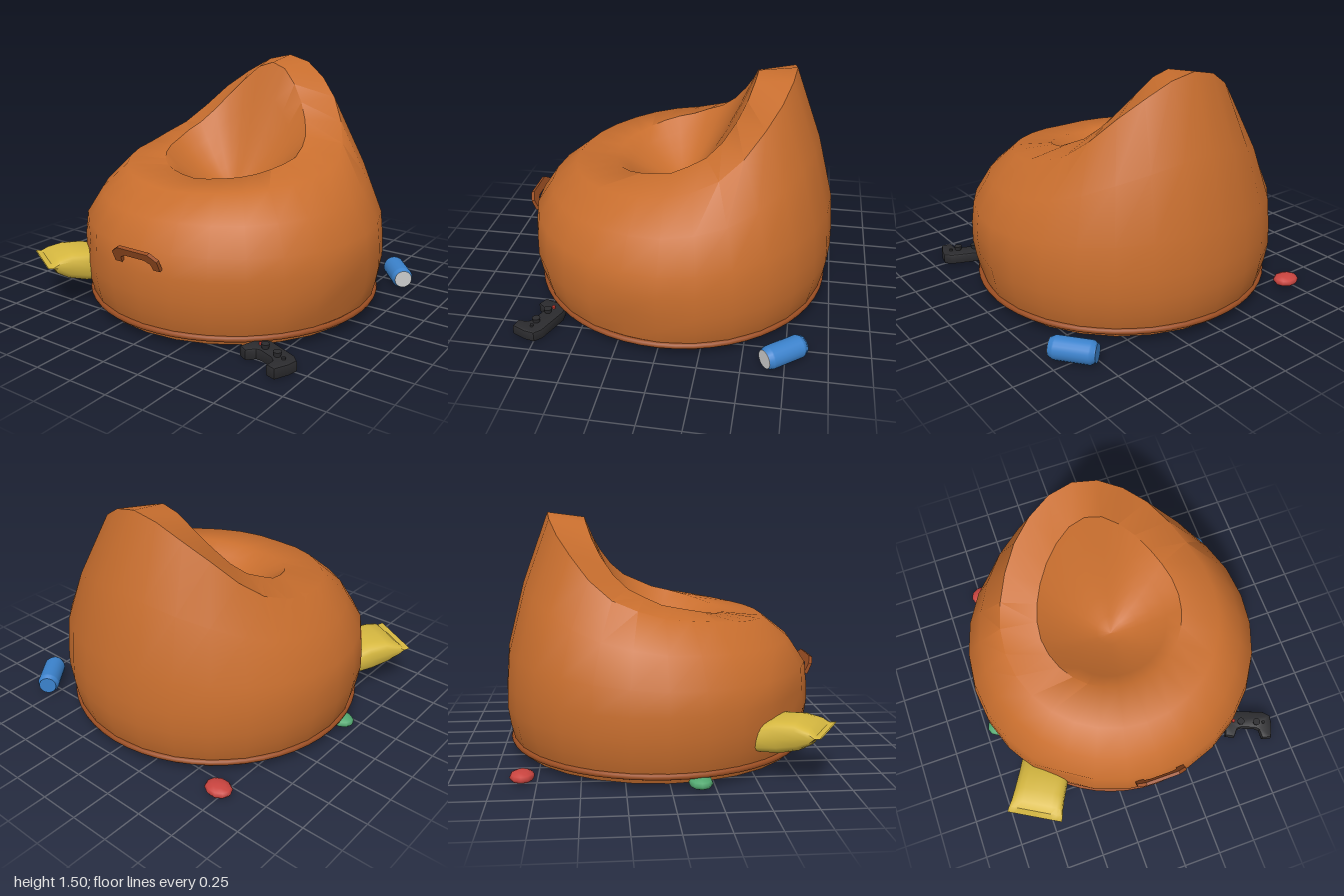
import * as THREE from 'three';
import { toCreasedNormals } from 'three/addons/utils/BufferGeometryUtils.js';

const SEG = 28;
const mat = (color, extra = {}) => new THREE.MeshStandardMaterial({ color, ...extra });
const fabric = mat(0xc86e2e), trim = mat(0x9c4e22), dark = mat(0x2b2b2e);

function add(parent, name, geometry, material, pos = [0, 0, 0], rot = [0, 0, 0]) {
  const m = new THREE.Mesh(geometry, material);
  m.name = name;
  m.position.set(...pos);
  m.rotation.set(...rot);
  parent.add(m);
  return m;
}

// Joins closed rings of points, listed from bottom to top, into a skin
function loft(rings, crease) {
  const n = rings[0].length, index = [];
  for (let i = 0; i < rings.length - 1; i++) {
    for (let j = 0; j < n; j++) {
      const a = i * n + j, b = i * n + (j + 1) % n;
      index.push(a, b, b + n, a, b + n, a + n);
    }
  }
  const g = new THREE.BufferGeometry();
  g.setAttribute('position', new THREE.Float32BufferAttribute(rings.flat(2), 3));
  g.setIndex(index);
  return toCreasedNormals(g.toNonIndexed(), crease);
}

// Linear interpolation in [key, value] pairs
function track(keys, k) {
  let i = 1;
  while (i < keys.length - 1 && keys[i][0] < k) i++;
  const [k0, v0] = keys[i - 1], [k1, v1] = keys[i];
  return v0 + (v1 - v0) * (k - k0) / (k1 - k0);
}

// Heights and radii by angle away from the front, in degrees
const crestY = [[0, 0.845], [45, 0.87], [90, 0.925], [113, 1.0], [131, 1.15], [142, 1.27], [155, 1.38], [168, 1.47], [180, 1.5]];
const crestR = [[0, 0.68], [90, 0.69], [180, 0.685]];
const seatY = [[0, 0.86], [45, 0.895], [90, 0.97], [121, 1.08], [140, 1.23], [165, 1.43], [180, 1.47]];
const seatR = [[0, 0.42], [90, 0.455], [180, 0.455]];
// Soft dents in the skin: x, y, z
const dents = [[0.95, 0.2, 0.15], [-0.55, 0.4, 0.77]];

function bagGeometry() {
  const ring = (f) => Array.from({ length: SEG }, (_, j) => {
    const phi = j / SEG * Math.PI * 2;
    const deg = 180 - Math.abs(180 - j / SEG * 360);
    let [r, y] = f(deg);
    let x = Math.sin(phi) * r, z = Math.cos(phi) * r - 0.015;
    for (const [dx, dy, dz] of dents) {
      const s = 1 - 0.035 * Math.exp(-((x - dx) ** 2 + (y - dy) ** 2 + (z - dz) ** 2) / 0.015);
      x *= s;
      z *= s;
    }
    return [x, y, z];
  });
  const rings = [];
  // Underside and lower wall
  for (const [r, y] of [[0, 0.005], [0.82, 0.005], [0.9, 0.035], [0.925, 0.09], [0.95, 0.19], [0.968, 0.3], [0.965, 0.43]]) {
    rings.push(ring(() => [r, y]));
  }
  // Shoulder, rising into the backrest
  const shoulderY = (d) => 0.565 + 0.095 * Math.max(0, (d - 90) / 90);
  rings.push(ring((d) => [0.948, shoulderY(d)]));
  rings.push(ring((d) => {
    const y = shoulderY(d);
    return [0.845, y + (track(crestY, d) - y) * (0.54 - 0.06 * d / 180)];
  }));
  rings.push(ring((d) => [track(crestR, d), track(crestY, d)]));
  // Seat hollow
  for (const t of [1, 0.8, 0.6, 0.4, 0.2, 0]) {
    rings.push(ring((d) => [track(seatR, d) * t, 0.67 + (track(seatY, d) - 0.67) * t ** 1.4]));
  }
  return loft(rings, 0.75);
}

// Closed outline from corner points
const outline = (pts) => new THREE.Shape(pts.map((p) => new THREE.Vector2(...p)));
// Adds the mirror image of a half outline
const mirrored = (half) => outline([...half, ...half.map(([x, y]) => [-x, y]).reverse()]);

function snackBag() {
  const g = new THREE.Group();
  g.name = 'snackBag';
  // Pillow-shaped sections: distance along the packet, half thickness, half width
  const sections = [[-0.27, 0.004, 0.182], [-0.235, 0.006, 0.18], [-0.2, 0.05, 0.174], [-0.12, 0.085, 0.168],
    [0, 0.1, 0.165], [0.12, 0.085, 0.168], [0.2, 0.05, 0.174], [0.235, 0.006, 0.18], [0.27, 0.004, 0.182]];
  const rings = sections.map(([z, h, w]) => Array.from({ length: 20 }, (_, j) => {
    const a = j / 20 * Math.PI * 2, c = Math.cos(a), s = Math.sin(a);
    return [Math.sign(c) * Math.abs(c) ** 0.5 * w, Math.sign(s) * Math.abs(s) ** 0.6 * h, z];
  }));
  add(g, 'packet', loft(rings, 0.8), mat(0xd6b840, { side: THREE.DoubleSide }));
  g.position.set(-0.715, 0.26, 0.665);
  g.rotation.set(-0.17, -Math.PI / 6, 0, 'YXZ');
  return g;
}

function drinkCan() {
  const g = new THREE.Group();
  g.name = 'drinkCan';
  const profile = [[0.05, -0.135], [0.068, -0.11], [0.07, -0.1], [0.07, 0.1], [0.068, 0.11], [0.056, 0.135]];
  const body = new THREE.LatheGeometry(profile.map((p) => new THREE.Vector2(...p)), 20);
  add(g, 'canBody', body, mat(0x3b82cc));
  const end = new THREE.CylinderGeometry(0.056, 0.056, 0.006, 20);
  add(g, 'canLid', end, mat(0xcccccc), [0, 0.134, 0]);
  add(g, 'canBase', end, mat(0x3b82cc), [0, -0.133, 0]);
  g.position.set(0.86, 0.075, -0.74);
  g.rotation.set(Math.PI / 2, Math.atan2(0.17, 0.21), 0, 'YXZ');
  return g;
}

function gamepad() {
  const g = new THREE.Group();
  g.name = 'gamepad';
  const half = [[0.1, 0.065], [0.145, 0.045], [0.155, -0.01], [0.15, -0.095], [0.105, -0.1], [0.085, -0.045], [0.05, -0.03]];
  const body = new THREE.ExtrudeGeometry(mirrored(half), {
    depth: 0.045, bevelEnabled: true, bevelThickness: 0.012, bevelSize: 0.01, bevelSegments: 2,
  });
  add(g, 'gamepadBody', toCreasedNormals(body, 0.6), dark, [0, 0.018, 0], [-Math.PI / 2, 0, 0]);
  for (const s of [-1, 1]) {
    add(g, 'thumbStick', new THREE.CylinderGeometry(0.025, 0.02, 0.03, 12), dark, [s * 0.055, 0.087, 0.005]);
  }
  const button = new THREE.CylinderGeometry(0.011, 0.011, 0.014, 10);
  add(g, 'redButton', button, mat(0xcc3a30), [-0.105, 0.08, 0.0]);
  add(g, 'blackButton', button, dark, [0.105, 0.08, 0.0]);
  g.position.set(0.77, 0, 0.735);
  g.rotation.y = -0.38;
  return g;
}

export function createModel() {
  const model = new THREE.Group();
  model.name = 'beanBagChair';
  add(model, 'bag', bagGeometry(), fabric);

  // Piping around the base
  add(model, 'basePiping', new THREE.TorusGeometry(0.926, 0.018, 8, SEG * 2), trim, [0, 0.083, -0.015], [Math.PI / 2, 0, 0]);

  // Carry handle
  const handle = mirrored([[0.11, 0.055], [0.165, 0.015], [0.165, -0.055], [0.115, -0.055], [0.11, -0.015], [0.07, 0.005]]);
  add(model, 'handle', new THREE.ExtrudeGeometry(handle, { depth: 0.022, bevelEnabled: false }), trim, [0, 0.527, 0.947], [0.42, 0, 0]);

  model.add(snackBag(), drinkCan(), gamepad());

  // Loose sweets
  const sweet = new THREE.SphereGeometry(0.088, 10, 6);
  add(model, 'redSweet', sweet, mat(0xc9443f), [-0.725, 0.04, -0.835]).scale.set(1, 0.4, 0.83);
  add(model, 'greenSweet', sweet, mat(0x52a870), [-0.9, 0.04, 0.165]).scale.set(0.97, 0.4, 0.8);
  return model;
}
